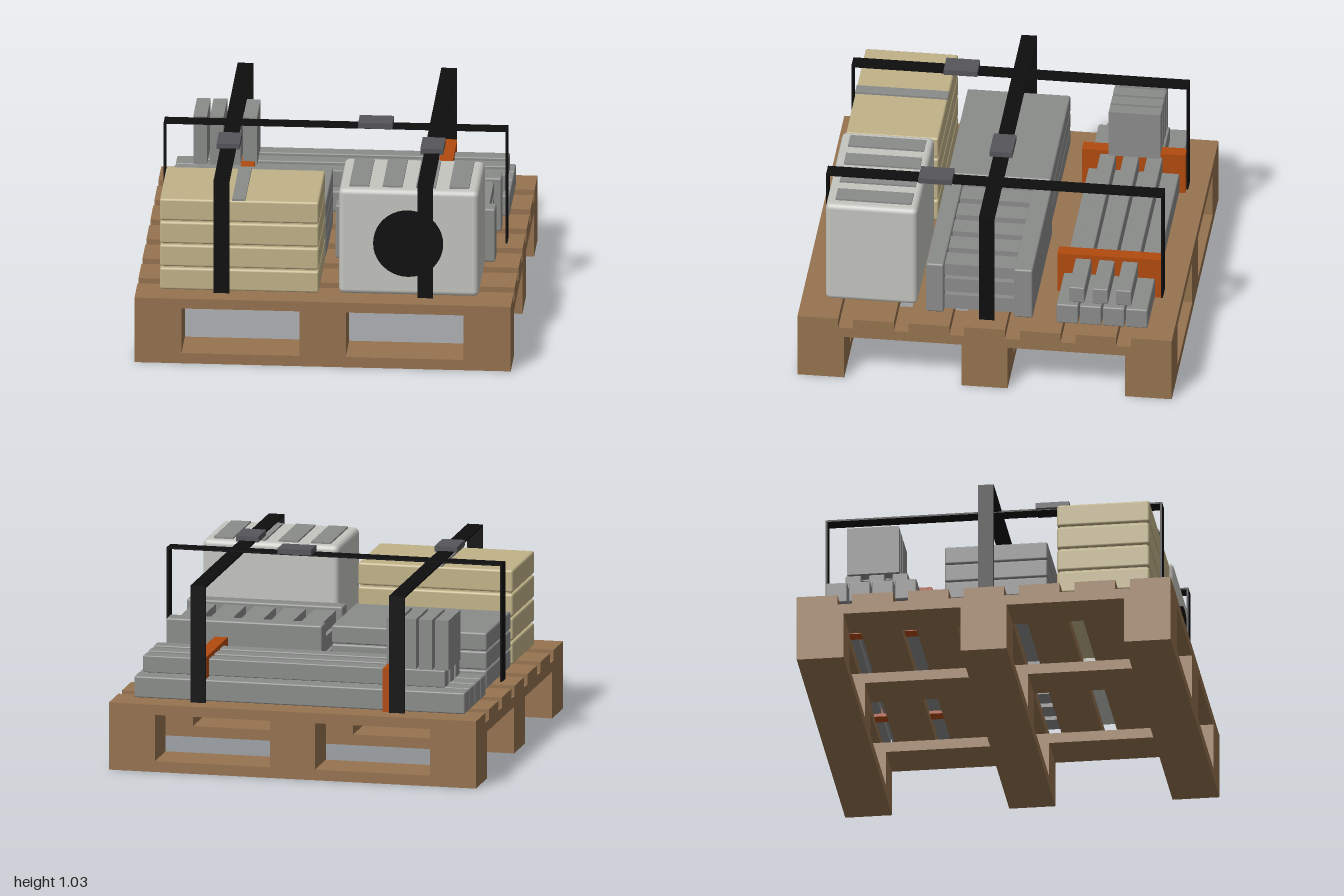
import * as THREE from 'three';
import { RoundedBoxGeometry } from 'three/addons/geometries/RoundedBoxGeometry.js';

const mat = (name, color) => {
  const m = new THREE.MeshStandardMaterial({ color });
  m.name = name;
  return m;
};

export function createModel() {
  const wood = mat('wood', 0x96734f);
  const grey = mat('grey', 0x8a8c8a);
  const tan = mat('tan', 0xc1b389);
  const black = mat('black', 0x0e0e0e);
  const orange = mat('orange', 0xb04a0e);
  const pale = mat('paleGrey', 0xc4c5bf);
  const steel = mat('darkSteel', 0x55555a);

  const model = new THREE.Group();
  model.name = 'loadedPallet';
  const group = (name) => {
    const g = new THREE.Group();
    g.name = name;
    model.add(g);
    return g;
  };

  // Box given by its limits on each axis, optionally with rounded edges
  const box = (parent, name, material, [x0, x1], [y0, y1], [z0, z1], r = 0) => {
    const s = [x1 - x0, y1 - y0, z1 - z0];
    const geo = r ? new RoundedBoxGeometry(...s, 2, r) : new THREE.BoxGeometry(...s);
    const mesh = new THREE.Mesh(geo, material);
    mesh.name = name;
    mesh.position.set((x0 + x1) / 2, (y0 + y1) / 2, (z0 + z1) / 2);
    parent.add(mesh);
    return mesh;
  };

  // Pallet: skids, blocks, stringers and seven deck boards
  const pallet = group('pallet');
  const bands = [[-1, -0.75], [-0.123, 0.123], [0.75, 1]];
  for (const b of bands) {
    box(pallet, 'skid', wood, [-1, 1], [0, 0.058], b);
    box(pallet, 'stringer', wood, b, [0.254, 0.31], [-1, 1]);
    for (const c of bands) box(pallet, 'block', wood, c, [0.058, 0.254], b);
  }
  for (let i = -3; i <= 3; i++) {
    const z = i * 0.297;
    box(pallet, 'deckBoard', wood, [-1, 1], [0.31, 0.365], [z - 0.109, z + 0.109]);
  }

  // Stacked tan sheets with a band on top
  const sheets = group('tanStack');
  for (let i = 0; i < 4; i++) {
    const y = 0.367 + i * 0.13;
    box(sheets, 'tanSheet', tan, [-0.875, -0.03], [y, y + 0.122], [0.375, 0.87], 0.012);
    if (i) box(sheets, 'spacer', tan, [-0.86, -0.045], [y - 0.01, y + 0.002], [0.39, 0.855]);
  }
  box(sheets, 'topBand', grey, [-0.49, -0.42], [0.878, 0.889], [0.375, 0.87]);

  // Stacked grey slabs
  const slabs = group('slabStack');
  for (let i = 0; i < 3; i++) {
    const y = 0.366 + i * 0.102;
    box(slabs, 'slab', grey, [-0.875, -0.03], [y, y + 0.099], [-0.225, 0.325], 0.01);
  }

  // Crate with two long walls and rows of cross slats
  const crate = group('crate');
  box(crate, 'backWall', grey, [0.02, 0.87], [0.366, 0.665], [-0.24, -0.14], 0.01);
  box(crate, 'frontWall', grey, [0.02, 0.87], [0.366, 0.665], [0.235, 0.33], 0.01);
  for (let i = 0; i < 5; i++) {
    const x = 0.055 + i * 0.164;
    for (const y of [[0.37, 0.455], [0.475, 0.555], [0.577, 0.645]]) {
      box(crate, 'crossSlat', grey, [x, x + 0.118], y, [-0.145, 0.24]);
    }
  }

  // Appliance with a round front plate and vents on top
  const unit = group('appliance');
  box(unit, 'housing', pale, [0.077, 0.82], [0.367, 0.96], [0.382, 0.874], 0.028);
  const plate = new THREE.Mesh(new THREE.CylinderGeometry(0.186, 0.186, 0.014, 40), black);
  plate.name = 'roundPlate';
  plate.rotation.x = Math.PI / 2;
  plate.position.set(0.446, 0.664, 0.879);
  unit.add(plate);
  for (let i = 0; i < 4; i++) {
    const x = 0.13 + i * 0.177;
    box(unit, 'vent', grey, [x, x + 0.105], [0.958, 0.969], [0.42, 0.826]);
  }

  // Beams in two layers, held by orange cradles
  const beams = group('beams');
  for (let i = 0; i < 4; i++) {
    const z = -0.858 + i * 0.1235;
    box(beams, 'lowerBeam', grey, [-0.905, 0.897], [0.367, 0.482], [z, z + 0.116], 0.008);
  }
  for (let i = 0; i < 3; i++) {
    const z = -0.768 + i * 0.125;
    box(beams, 'upperBeam', grey, [-0.777, 0.87], [0.485, 0.577], [z, z + 0.084], 0.006);
  }
  for (const x of [-0.5, 0.545]) {
    box(beams, 'cradle', orange, [x - 0.036, x + 0.036], [0.35, 0.6], [-0.89, -0.337]);
  }

  // Upright panels standing on the beams
  const panels = group('uprightPanels');
  for (let i = 0; i < 4; i++) {
    const x = -0.793 + i * 0.0885;
    box(panels, 'panel', grey, [x, x + 0.073], [0.577, 0.848], [-0.757, -0.481]);
  }

  // Lashing straps: two run front to back, one runs side to side
  const straps = group('straps');
  for (const x of [-0.545, 0.538]) {
    const w = [x - 0.042, x + 0.042];
    box(straps, 'strapTop', black, w, [0.99, 1.0], [-0.9, 0.9]);
    for (const z of [-0.895, 0.895]) {
      box(straps, 'strapSide', black, w, [0.365, 0.995], [z - 0.005, z + 0.005]);
    }
    box(straps, 'buckle', steel, [x - 0.061, x + 0.061], [0.994, 1.025], [0.225, 0.405]);
  }
  box(straps, 'crossStrapTop', black, [-0.913, 0.913], [0.995, 1.004], [-0.042, 0.042]);
  for (const x of [-0.908, 0.908]) {
    box(straps, 'crossStrapSide', black, [x - 0.005, x + 0.005], [0.365, 1.0], [-0.042, 0.042]);
  }
  box(straps, 'crossBuckle', steel, [0.122, 0.304], [1.003, 1.034], [-0.061, 0.061]);

  return model;
}
